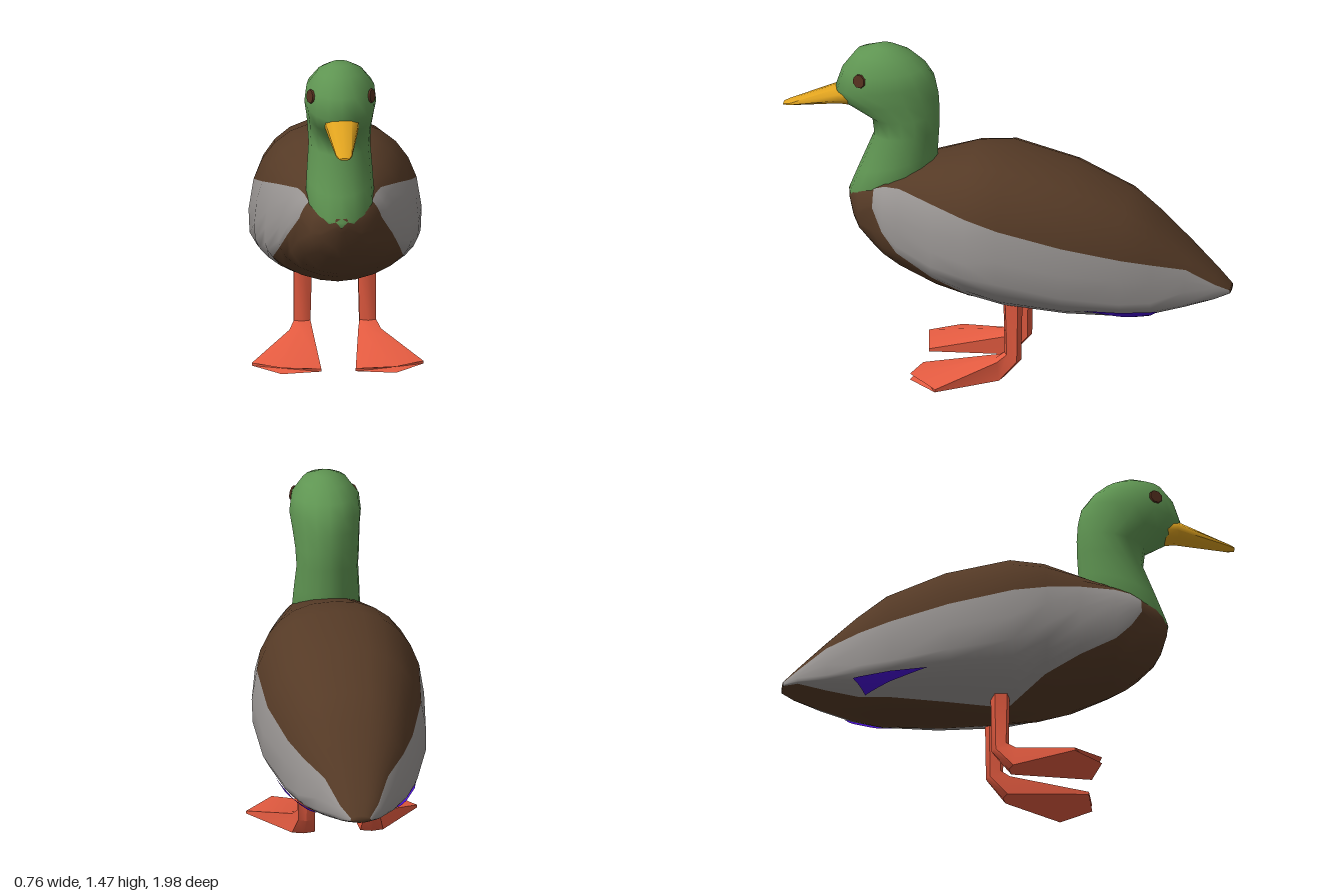
import * as THREE from 'three';
import { toCreasedNormals } from 'three/addons/utils/BufferGeometryUtils.js';

const mat = (name, color, side = THREE.FrontSide) => {
  const m = new THREE.MeshStandardMaterial({ color, side });
  m.name = name;
  return m;
};
const V = (x, y, z) => new THREE.Vector3(x, y, z);

// Skins closed rings of points; slot(i, j) picks the material slot of a quad.
function loft(rings, slot = () => 0) {
  const n = rings[0].length;
  const cap = (r) => {
    const c = r.reduce((s, p) => s.add(p), V(0, 0, 0)).divideScalar(n);
    return r.map(() => c);
  };
  const all = [cap(rings[0]), ...rings, cap(rings[rings.length - 1])];
  const lists = [[], []];
  for (let i = 0; i < all.length - 1; i++) {
    for (let j = 0; j < n; j++) {
      const k = (j + 1) % n;
      const a = i * n + j, b = i * n + k, c = a + n, d = b + n;
      lists[slot(i - 1, j)].push(a, b, c, b, d, c);
    }
  }
  const g = new THREE.BufferGeometry().setFromPoints(all.flat());
  g.setIndex([...lists[0], ...lists[1]]);
  g.addGroup(0, lists[0].length, 0);
  if (lists[1].length) g.addGroup(lists[0].length, lists[1].length, 1);
  g.computeVertexNormals();
  return g;
}

// Body stations: z, top, widest height, bottom, half width, panel top, panel bottom
const BODY = [
  [0.705, 0.80, 0.77, 0.74, 0.03, 0.78, 0.76],
  [0.68, 0.835, 0.735, 0.655, 0.09, 0.79, 0.72],
  [0.65, 0.86, 0.71, 0.60, 0.135, 0.81, 0.72],
  [0.58, 0.895, 0.68, 0.53, 0.19, 0.845, 0.77],
  [0.53, 0.915, 0.65, 0.495, 0.23, 0.865, 0.68],
  [0.46, 0.93, 0.62, 0.46, 0.265, 0.87, 0.60],
  [0.30, 0.975, 0.58, 0.39, 0.32, 0.84, 0.505],
  [0.15, 1.02, 0.565, 0.35, 0.36, 0.805, 0.42],
  [0, 1.03, 0.56, 0.315, 0.38, 0.77, 0.325],
  [-0.28, 0.96, 0.49, 0.30, 0.36, 0.70, 0.32],
  [-0.53, 0.85, 0.44, 0.297, 0.295, 0.635, 0.325],
  [-0.66, 0.745, 0.425, 0.315, 0.245, 0.60, 0.335],
  [-0.80, 0.615, 0.415, 0.355, 0.175, 0.555, 0.37],
  [-0.92, 0.50, 0.415, 0.39, 0.10, 0.47, 0.405],
  [-0.98, 0.44, 0.42, 0.41, 0.045, 0.43, 0.415],
];
const UP = 2.4, DOWN = 1.8; // roundness above and below the widest line

// Angle around a station at height y
function angleAt([, top, mid, bot], y) {
  return y >= mid
    ? Math.asin(Math.min(1, (y - mid) / (top - mid)) ** (UP / 2))
    : -Math.asin(Math.min(1, (mid - y) / (mid - bot)) ** (DOWN / 2));
}
function bodyPoint(s, a) {
  const [z, top, mid, bot, w] = s;
  const e = 2 / (a >= 0 ? UP : DOWN);
  const h = Math.abs(Math.sin(a)) ** e;
  const x = w * Math.max(0, Math.cos(a)) ** e;
  return V(x, a >= 0 ? mid + (top - mid) * h : mid - (mid - bot) * h, z);
}
function stationAt(z) {
  const i = Math.max(1, BODY.findIndex((s) => s[0] <= z));
  const p = BODY[i - 1], q = BODY[i], t = (p[0] - z) / (p[0] - q[0]);
  return p.map((v, k) => v + (q[k] - v) * t);
}

const BACK = 5, SIDE = 6, BELLY = 4, HALF = BACK + SIDE + BELLY;
function bodyGeometry() {
  const rings = BODY.map((s) => {
    const stops = [Math.PI / 2, angleAt(s, s[5]), angleAt(s, s[6]), -Math.PI / 2];
    const half = [];
    [BACK, SIDE, BELLY].forEach((count, k) => {
      for (let j = 0; j < count; j++) {
        half.push(bodyPoint(s, stops[k] + (stops[k + 1] - stops[k]) * j / count));
      }
    });
    half.push(bodyPoint(s, -Math.PI / 2));
    const other = half.slice(1, -1).reverse().map((p) => V(-p.x, p.y, p.z));
    return [...half, ...other];
  });
  return loft(rings, (i, j) => {
    const k = j < HALF ? j : 2 * HALF - 1 - j;
    return i >= 3 && i < BODY.length - 1 && k >= BACK && k < BACK + SIDE ? 1 : 0;
  });
}

// Head and neck rings: front z, front y, back z, back y, half width
const NECK = [
  [0.70, 0.74, 0.33, 0.88, 0.13],
  [0.712, 0.785, 0.32, 0.93, 0.15],
  [0.67, 0.89, 0.318, 1.0, 0.145],
  [0.60, 1.06, 0.312, 1.10, 0.135],
  [0.61, 1.14, 0.31, 1.18, 0.14],
  [0.72, 1.20, 0.315, 1.26, 0.147],
  [0.772, 1.265, 0.33, 1.33, 0.157],
  [0.74, 1.36, 0.37, 1.385, 0.148],
  [0.68, 1.44, 0.43, 1.435, 0.10],
  [0.60, 1.468, 0.50, 1.467, 0.045],
];
const neckRing = ([zf, yf, zb, yb, w]) => Array.from({ length: 16 }, (_, j) => {
  const a = j / 16 * Math.PI * 2, c = (1 + Math.cos(a)) / 2;
  return V(Math.sin(a) * w, yb + (yf - yb) * c, zb + (zf - zb) * c);
});

// Bill rings: z, centre y, half width, half height
const BILL = [
  [0.69, 1.238, 0.078, 0.052],
  [0.75, 1.235, 0.074, 0.045],
  [0.97, 1.175, 0.037, 0.012],
  [1.0, 1.168, 0.022, 0.005],
];
const billRing = ([z, y, w, h]) => Array.from({ length: 10 }, (_, j) => {
  const a = j / 10 * Math.PI * 2;
  return V(-Math.sin(a) * w, y + Math.cos(a) * h, z);
});

// Leg bending into a webbed foot: each ring runs outer to inner, then back
function legGeometry(side) {
  const tube = (xo, xm, xi, yf, zf, yb, zb) => [
    V(xo, yf, zf - 0.015), V(xm, yf, zf), V(xi, yf, zf - 0.015),
    V(xi, yb, zb + 0.015), V(xm, yb, zb), V(xo, yb, zb + 0.015),
  ];
  const rings = [
    tube(0.18, 0.14, 0.10, 0.38, 0.005, 0.38, -0.08),
    tube(0.18, 0.145, 0.107, 0.115, 0.0, 0.085, -0.075),
    tube(0.20, 0.15, 0.10, 0.085, 0.04, 0.0, 0.0),
    [V(0.375, 0.012, 0.27), V(0.25, 0.028, 0.4), V(0.075, 0.012, 0.37),
      V(0.075, 0, 0.37), V(0.25, 0, 0.4), V(0.375, 0, 0.27)],
  ];
  const placed = side > 0 ? rings
    : rings.map((r) => r.map((p) => V(-p.x, p.y, p.z)).reverse());
  return toCreasedNormals(loft(placed), 0.8);
}

// Three-cornered wing patch laid over the lower flank
function patchGeometry(side) {
  const A = [-0.37, 0.41], B = [-0.69, 0.388], C = [-0.63, 0.337];
  const g = new THREE.PlaneGeometry(1, 1, 10, 5);
  const p = g.attributes.position, uv = g.attributes.uv;
  for (let i = 0; i < p.count; i++) {
    const u = uv.getX(i), v = uv.getY(i);
    const [z, y] = [0, 1].map((k) => A[k] + (B[k] + (C[k] - B[k]) * v - A[k]) * u);
    const s = stationAt(z);
    const q = bodyPoint(s, angleAt(s, y));
    p.setXYZ(i, side * (q.x + 0.006), q.y - 0.006, z);
  }
  // keep the corner order facing outward on both sides
  if (side > 0) g.setIndex(Array.from(g.index.array).reverse());
  g.computeVertexNormals();
  return g;
}

export function createModel() {
  const brown = mat('brown plumage', 0x553a26);
  const grey = mat('grey flank', 0x979391);
  const green = mat('green head', 0x5f9552);
  const yellow = mat('yellow bill', 0xe0a31f);
  const orange = mat('orange legs', 0xe65c41);
  const violet = mat('violet patch', 0x460cd2, THREE.DoubleSide);
  const dark = mat('dark eye', 0x55301f);

  const duck = new THREE.Group();
  duck.name = 'duck';
  const add = (name, geometry, material) => {
    const m = new THREE.Mesh(geometry, material);
    m.name = name;
    duck.add(m);
    return m;
  };

  add('body', bodyGeometry(), [brown, grey]);
  add('headAndNeck', loft(NECK.map(neckRing)), green);
  add('bill', toCreasedNormals(loft(BILL.map(billRing)), 0.9), yellow);

  for (const side of [1, -1]) {
    const label = side > 0 ? 'left' : 'right';
    add(label + 'Leg', legGeometry(side), orange);
    add(label + 'WingPatch', patchGeometry(side), violet);

    // eye: thin disc lying on the side of the head
    const eye = add(label + 'Eye', new THREE.CylinderGeometry(0.03, 0.032, 0.009, 8), dark);
    eye.position.set(side * 0.134, 1.347, 0.645);
    eye.quaternion.setFromUnitVectors(V(0, 1, 0), V(side * 0.88, 0.12, 0.42).normalize());
  }
  return duck;
}
